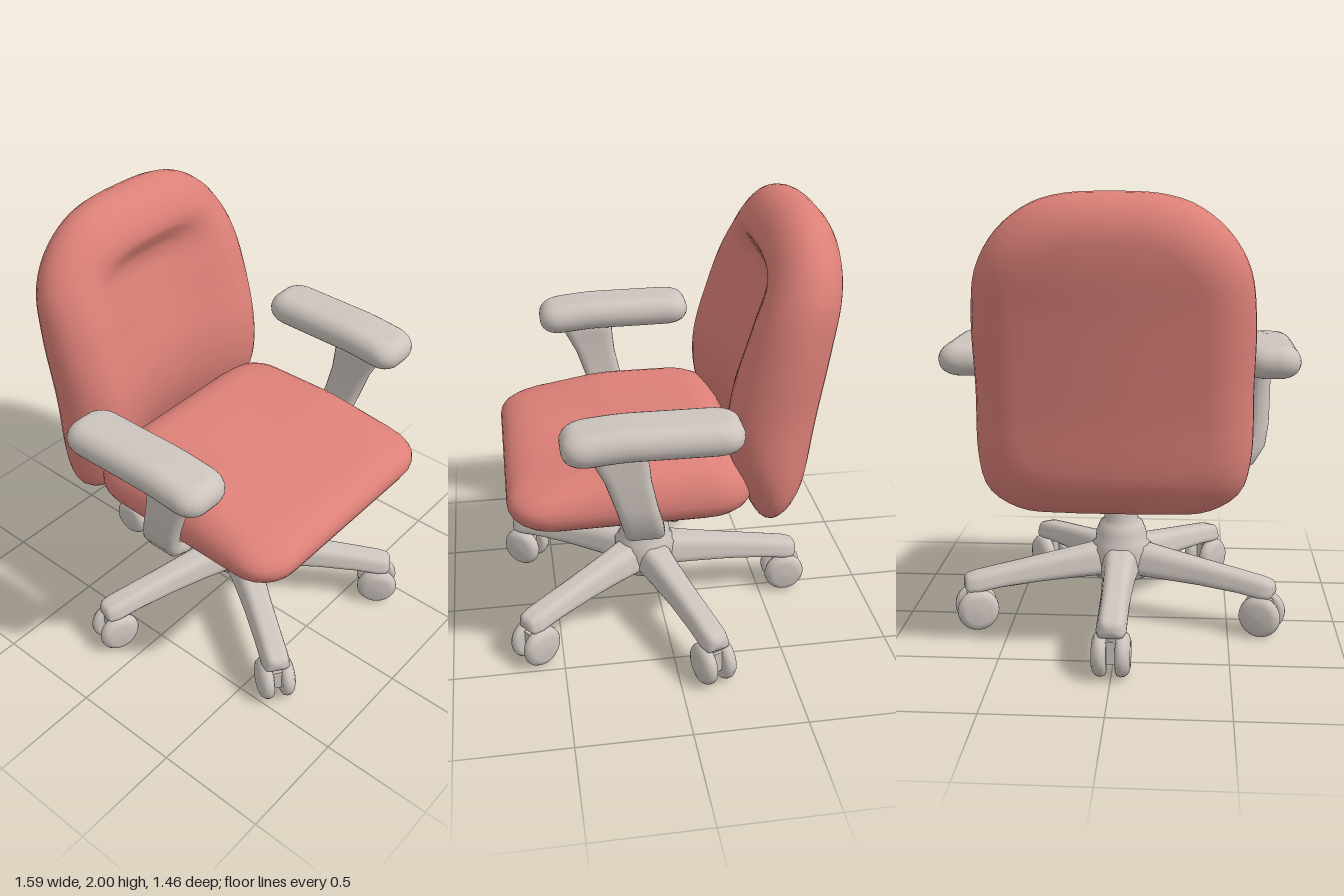
import * as THREE from 'three';

const fabric = new THREE.MeshStandardMaterial({ color: 0xdc8078 });
fabric.name = 'salmon fabric';
const plastic = new THREE.MeshStandardMaterial({ color: 0xcdc4be });
plastic.name = 'warm grey plastic';

const smooth = THREE.MathUtils.smoothstep;
const V = (x, y, z) => new THREE.Vector3(x, y, z);

function part(name, geometry, material, x = 0, y = 0, z = 0) {
  const mesh = new THREE.Mesh(geometry, material);
  mesh.name = name;
  mesh.position.set(x, y, z);
  return mesh;
}

// Smooth closed skin over a list of equal-length rings, capped at both ends
function skin(rings) {
  const n = rings[0].length, pos = [], idx = [];
  rings.forEach(r => r.forEach(p => pos.push(p.x, p.y, p.z)));
  for (let i = 0; i < rings.length - 1; i++)
    for (let j = 0; j < n; j++) {
      const a = i * n + j, b = i * n + (j + 1) % n;
      idx.push(a, b, a + n, b, b + n, a + n);
    }
  [0, rings.length - 1].forEach((ri, end) => {
    const c = V(0, 0, 0);
    rings[ri].forEach(p => c.addScaledVector(p, 1 / n));
    const ci = pos.length / 3;
    pos.push(c.x, c.y, c.z);
    for (let j = 0; j < n; j++) {
      const a = ri * n + j, b = ri * n + (j + 1) % n;
      if (end) idx.push(a, b, ci); else idx.push(b, a, ci);
    }
  });
  // Turn the faces outward if the signed volume is negative
  let vol = 0;
  const at = i => V(pos[i * 3], pos[i * 3 + 1], pos[i * 3 + 2]);
  for (let i = 0; i < idx.length; i += 3) vol += at(idx[i]).dot(at(idx[i + 1]).cross(at(idx[i + 2])));
  if (vol < 0) idx.reverse();
  const g = new THREE.BufferGeometry();
  g.setAttribute('position', new THREE.Float32BufferAttribute(pos, 3));
  g.setIndex(idx);
  g.computeVertexNormals();
  return g;
}

// Outline of a rounded rectangle with half sizes a, b
function roundRect(a, b, r, count) {
  const s = new THREE.Shape();
  s.absarc(a - r, b - r, r, 0, Math.PI / 2);
  s.absarc(r - a, b - r, r, Math.PI / 2, Math.PI);
  s.absarc(r - a, r - b, r, Math.PI, Math.PI * 1.5);
  s.absarc(a - r, r - b, r, Math.PI * 1.5, Math.PI * 2);
  s.closePath();
  return s.getSpacedPoints(count).slice(0, count);
}

// Padded form: outline with edge rounding e; place(u, v, n) sets n from -1 to 1 across the thickness
function pillow(outline, hu, hv, e, place) {
  const inner = [0.08, 0.2, 0.35, 0.5, 0.64, 0.76, 0.86, 0.94];
  const layers = inner.map(s => [s, 1, 1]);
  for (let i = 0; i <= 14; i++) {
    const a = Math.PI / 2 - Math.PI * i / 14;
    layers.push([1, 1 - Math.cos(a), Math.sin(a)]);
  }
  inner.slice().reverse().forEach(s => layers.push([s, 1, -1]));
  return skin(layers.map(([s, k, n]) =>
    outline.map(p => place(p.x * s * (1 - k * e / hu), p.y * s * (1 - k * e / hv), n))));
}

// Smooth curve through [input, value] pairs
function curve(pairs) {
  const c = new THREE.CubicInterpolant(pairs.map(p => p[0]), pairs.map(p => p[1]), 1);
  const lo = pairs[0][0], hi = pairs[pairs.length - 1][0];
  return t => c.evaluate(THREE.MathUtils.clamp(t, lo, hi - 1e-5))[0];
}

function makeSeat() {
  const g = pillow(roundRect(0.58, 0.53, 0.17, 88), 0.58, 0.53, 0.17, (u, v, n) => {
    const z = v + 0.18;
    const dish = 0.035 * Math.exp(-((u / 0.3) ** 2) - ((z - 0.25) / 0.22) ** 2);
    const top = 1.025 - 0.075 * smooth(z, 0.15, 0.65) - dish;
    const y = n > 0 ? 0.845 + (top - 0.845) * n : 0.845 + 0.12 * n;
    return V(u * (0.985 + 0.035 * z), y, z);
  });
  return part('seatCushion', g, fabric);
}

function makeBack() {
  const half = [[0.2, 1.99], [0.33, 1.95], [0.46, 1.85], [0.55, 1.7], [0.58, 1.5], [0.58, 1.2],
    [0.575, 0.9], [0.53, 0.75], [0.4, 0.665], [0.2, 0.65]];
  const pts = [[0, 2], ...half, [0, 0.65], ...half.map(([x, y]) => [-x, y]).reverse()];
  const loop = new THREE.CatmullRomCurve3(pts.map(([x, y]) => V(x, y - 1.325, 0)), true);
  const outline = loop.getSpacedPoints(96).slice(0, 96);
  const front = curve([[0.65, -0.34], [0.8, -0.31], [1, -0.245], [1.2, -0.235], [1.5, -0.31], [1.8, -0.4], [2, -0.43]]);
  const rear = curve([[0.65, -0.53], [0.8, -0.585], [1.1, -0.625], [1.5, -0.685], [1.75, -0.725], [2, -0.72]]);
  const g = pillow(outline, 0.58, 0.675, 0.17, (u, v, n) => {
    const y = v + 1.325;
    // Hollow between the side bolsters, ending below the head roll
    const hollow = 0.1 * (1 - smooth(Math.abs(u), 0.05, 0.45)) * (1 - smooth(y, 1.68, 1.84));
    const zf = front(y) - hollow;
    const zb = rear(y) + 0.04 * (u / 0.58) ** 2;
    return V(u, y, n > 0 ? THREE.MathUtils.lerp((front(y) + zb) / 2, zf, n) : THREE.MathUtils.lerp((front(y) + zb) / 2, zb, -n));
  });
  return part('backrest', g, fabric);
}

function makeArm(side) {
  const arm = new THREE.Group();
  arm.name = side > 0 ? 'leftArm' : 'rightArm';
  const pad = pillow(roundRect(0.125, 0.365, 0.085, 64), 0.125, 0.365, 0.065, (u, v, n) => {
    const z = v + 0.125;
    const mid = 1.26 - 0.02 * smooth(z, 0.2, 0.5);
    return V(side * (u + 0.667 - 0.012 * v), mid + 0.07 * n, z);
  });
  arm.add(part('armPad', pad, plastic));
  // Bracket stations: x, y, z, direction angle, half depth, half thickness
  const stations = [[0.645, 1.23, 0.265, -90, 0.13, 0.045], [0.645, 1.15, 0.25, -90, 0.115, 0.042],
    [0.645, 1.05, 0.22, -90, 0.095, 0.042], [0.64, 0.92, 0.185, -92, 0.088, 0.042],
    [0.625, 0.83, 0.16, -104, 0.087, 0.042], [0.585, 0.765, 0.145, -135, 0.086, 0.04],
    [0.52, 0.73, 0.135, -165, 0.085, 0.034], [0.42, 0.72, 0.13, -176, 0.085, 0.026], [0.29, 0.715, 0.13, -180, 0.08, 0.018]];
  const rings = stations.map(([x, y, z, deg, d, t]) => {
    const a = THREE.MathUtils.degToRad(deg);
    return roundRect(d, t, t * 0.8, 32).map(p =>
      V(side * (x - Math.sin(a) * p.y), y + Math.cos(a) * p.y, z + p.x));
  });
  arm.add(part('armBracket', skin(rings), plastic));
  return arm;
}

function makeLeg(angle) {
  const leg = new THREE.Group();
  leg.name = 'baseLeg';
  leg.rotation.y = angle;
  // Spoke stations: radius, bottom, top, half width
  const stations = [[0, 0.22, 0.355, 0.085], [0.12, 0.215, 0.355, 0.08], [0.22, 0.21, 0.34, 0.07], [0.4, 0.205, 0.312, 0.062],
    [0.58, 0.195, 0.283, 0.06], [0.69, 0.18, 0.265, 0.06], [0.73, 0.18, 0.255, 0.052], [0.745, 0.195, 0.24, 0.035]];
  const rings = stations.map(([r, lo, hi, w]) => {
    const h = (hi - lo) / 2;
    return roundRect(w, h, Math.min(w, h) * 0.6, 32).map(p =>
      V(p.x * (1 - 0.18 * p.y / h), (lo + hi) / 2 + p.y, r));
  });
  leg.add(part('spoke', skin(rings), plastic));

  // Twin-wheel caster
  const caster = new THREE.Group();
  caster.name = 'caster';
  caster.position.z = 0.69;
  caster.add(part('casterStem', new THREE.CylinderGeometry(0.03, 0.035, 0.1, 16), plastic, 0, 0.16, 0));
  caster.add(part('casterBody', new THREE.BoxGeometry(0.06, 0.1, 0.09), plastic, 0, 0.115, 0));
  const profile = [[0, -0.03], [0.075, -0.03], [0.09, -0.024], [0.096, -0.008], [0.094, 0.008], [0.082, 0.024], [0.06, 0.033], [0, 0.036]];
  for (const s of [-1, 1]) {
    const wheel = part('casterWheel', new THREE.LatheGeometry(profile.map(p => new THREE.Vector2(...p)), 28), plastic, s * 0.049, 0.096, 0);
    wheel.rotation.z = -s * Math.PI / 2;
    caster.add(wheel);
  }
  leg.add(caster);
  return leg;
}

export function createModel() {
  const chair = new THREE.Group();
  chair.name = 'officeChair';
  chair.add(makeSeat(), makeBack(), makeArm(1), makeArm(-1));

  // Five-spoke base with hub and column
  const base = new THREE.Group();
  base.name = 'base';
  base.position.z = 0.065;
  for (let i = 0; i < 5; i++) base.add(makeLeg(Math.PI + i * Math.PI * 0.4));
  const column = [[0, 0.25], [0.06, 0.25], [0.065, 0.2], [0.13, 0.2], [0.145, 0.24], [0.145, 0.34], [0.122, 0.365], [0.118, 0.41],
    [0.1, 0.455], [0.08, 0.47], [0.077, 0.54], [0.08, 0.58], [0.1, 0.6], [0.105, 0.73], [0, 0.73]];
  base.add(part('gasColumn', new THREE.LatheGeometry(column.map(p => new THREE.Vector2(...p)), 32), plastic));
  chair.add(base);

  // Tilt mechanism and its tension knob
  chair.add(part('tiltPlate', new THREE.BoxGeometry(0.24, 0.06, 0.26), plastic, 0, 0.71, 0.09));
  const knob = part('tensionKnob', new THREE.CylinderGeometry(0.062, 0.07, 0.18, 20), plastic, 0, 0.625, 0.235);
  knob.rotation.x = -0.33;
  chair.add(knob);
  const pan = new THREE.CylinderGeometry(0.3, 0.2, 0.07, 4, 1);
  pan.rotateY(Math.PI / 4);
  chair.add(part('seatUnderside', pan, fabric, 0, 0.71, 0.17));
  return chair;
}
